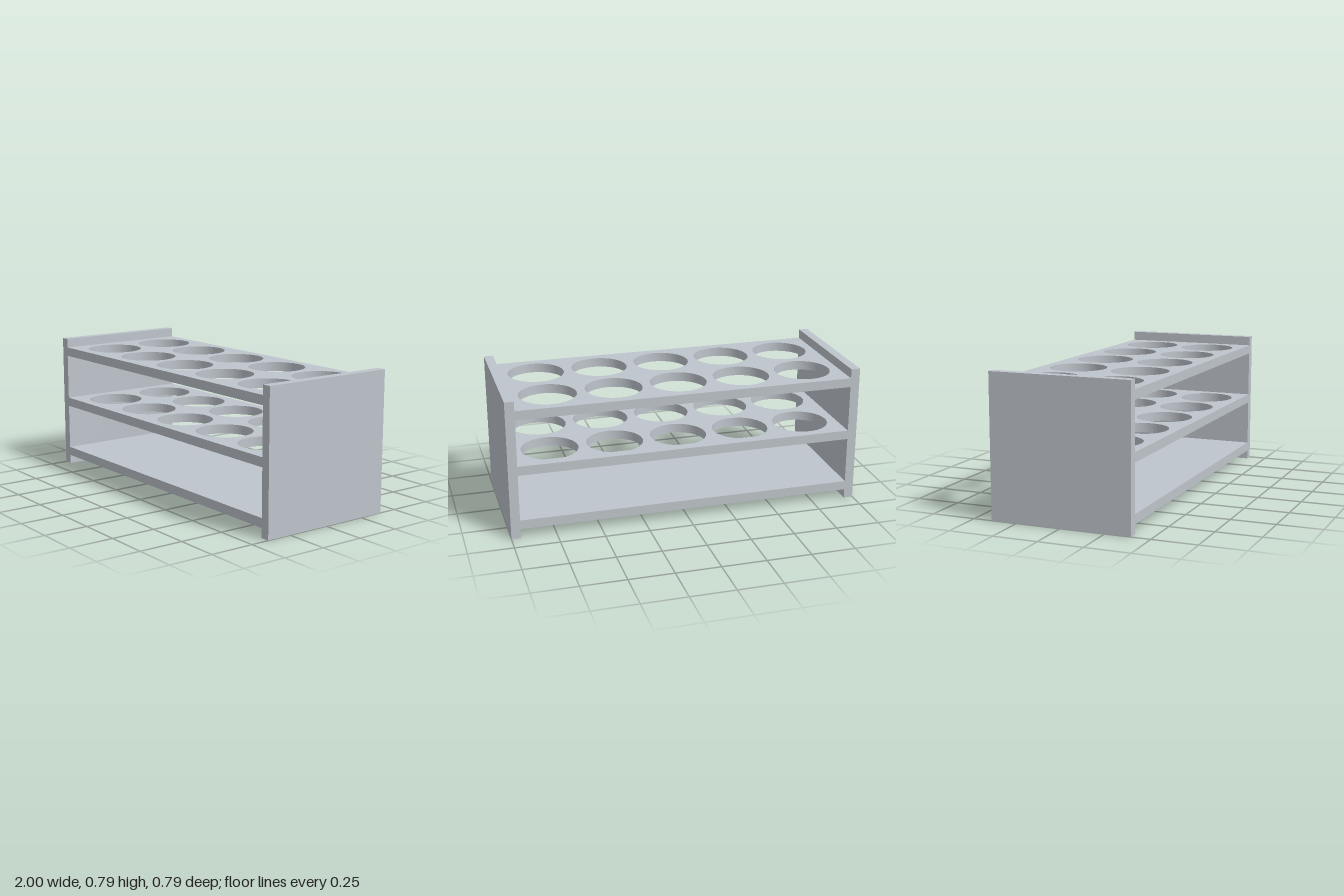
import * as THREE from 'three';
import { toCreasedNormals } from 'three/addons/utils/BufferGeometryUtils.js';

const DEPTH = 0.79, HEIGHT = 0.79, T = 0.052;
const INNER = 2 - 2 * T;          // shelf length between the end panels
const HOLE_R = 0.159, PITCH = 0.368;

// Flat shelf, optionally pierced by two rows of five round holes
function shelfGeometry(pierced) {
  const w = INNER / 2, d = DEPTH / 2;
  const shape = new THREE.Shape([
    new THREE.Vector2(-w, -d), new THREE.Vector2(w, -d),
    new THREE.Vector2(w, d), new THREE.Vector2(-w, d),
  ]);
  if (pierced) {
    for (let col = -2; col <= 2; col++) {
      for (const row of [-0.5, 0.5]) {
        const hole = new THREE.Path();
        hole.absarc(col * PITCH, row * PITCH, HOLE_R, 0, Math.PI * 2, true);
        shape.holes.push(hole);
      }
    }
  }
  const geo = new THREE.ExtrudeGeometry(shape, { depth: T, bevelEnabled: false, curveSegments: 32 });
  geo.rotateX(-Math.PI / 2);
  return toCreasedNormals(geo, 0.6);
}

export function createModel() {
  const rack = new THREE.Group();
  rack.name = 'tubeRack';
  const grey = new THREE.MeshStandardMaterial({ color: 0xbfc5cc });
  grey.name = 'light grey';

  const add = (name, geo, x, y) => {
    const mesh = new THREE.Mesh(geo, grey);
    mesh.name = name;
    mesh.position.set(x, y, 0);
    rack.add(mesh);
  };

  // End panels
  const panel = new THREE.BoxGeometry(T, HEIGHT, DEPTH);
  add('leftEndPanel', panel, 1 - T / 2, HEIGHT / 2);
  add('rightEndPanel', panel, -1 + T / 2, HEIGHT / 2);

  // Solid base shelf and two pierced shelves
  const pierced = shelfGeometry(true);
  add('baseShelf', shelfGeometry(false), 0, 0.053);
  add('middleShelf', pierced, 0, 0.369);
  add('topShelf', pierced, 0, 0.685);

  return rack;
}
